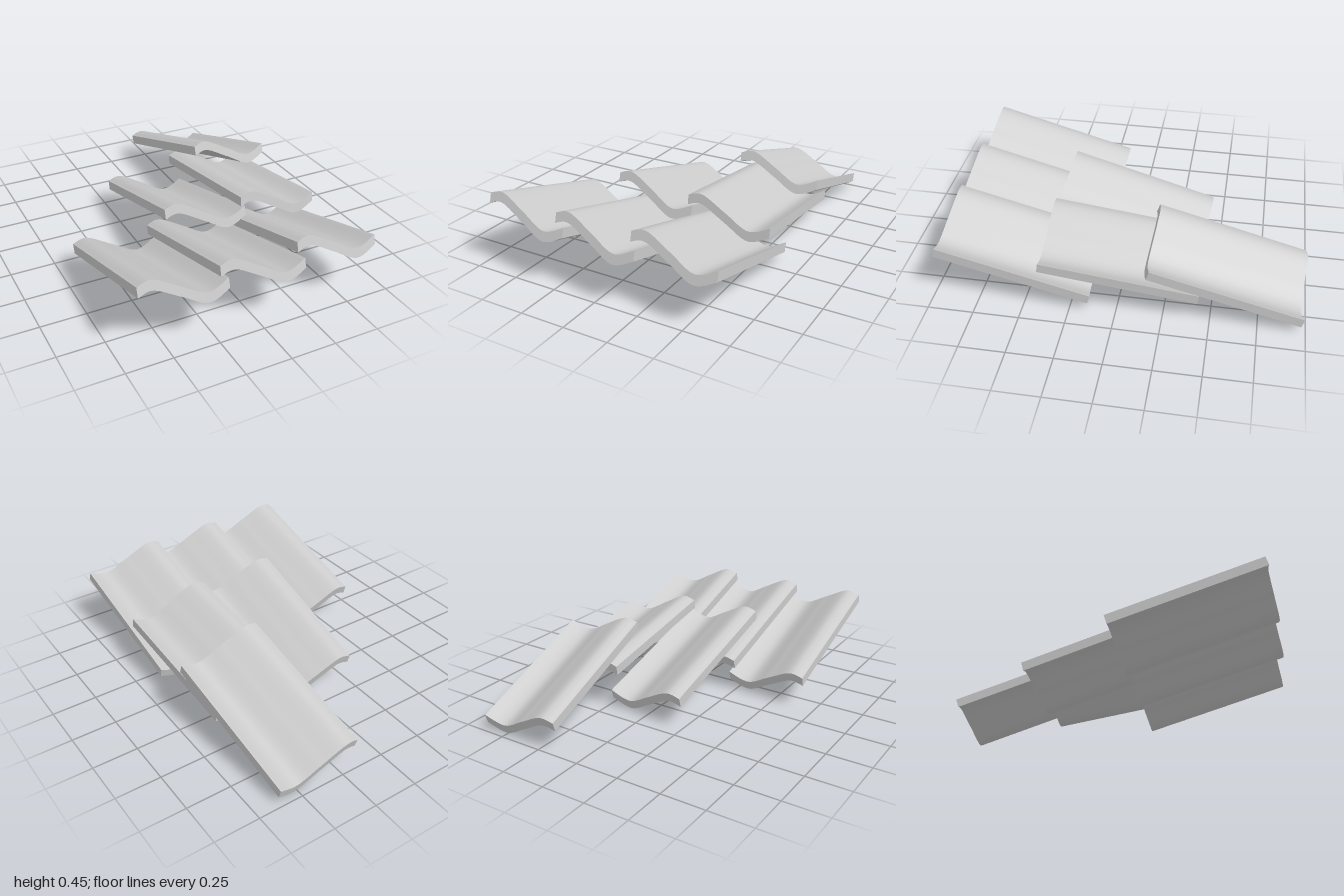
import * as THREE from 'three';
import { toCreasedNormals } from 'three/addons/utils/BufferGeometryUtils.js';

const LENGTH = 0.85;
const THICKNESS = 0.053;

// S-shaped pantile: wavy section swept backwards, origin at its front upper corner
function tileGeometry() {
  const wave = new THREE.SplineCurve([
    [0, 0], [0.08, 0.015], [0.215, -0.056], [0.35, -0.126], [0.467, -0.084],
  ].map(([x, y]) => new THREE.Vector2(x, y))).getPoints(40);
  const under = wave.map((p) => new THREE.Vector2(p.x, p.y - THICKNESS)).reverse();
  const section = new THREE.Shape([...wave, ...under]);
  const geometry = new THREE.ExtrudeGeometry(section, { depth: LENGTH, bevelEnabled: false });
  geometry.translate(0, 0, -LENGTH);
  return toCreasedNormals(geometry, 0.6);
}

// Front corner x, y, z, then downward pitch and yaw in degrees
const TILES = [
  ['leftColumnTile', -0.661, 0.43, 0.948, 16.5, 1.2],
  ['middleFrontTile', -0.238, 0.42, 0.953, 15.7, 0.5],
  ['middleBackTile', -0.25, 0.42, 0.378, 16, -0.6],
  ['rightFrontTile', 0.195, 0.423, 0.942, 16, 1.6],
  ['rightMiddleTile', 0.192, 0.395, 0.403, 8.4, 1.8],
  ['rightBackTile', 0.21, 0.436, -0.177, 18, 4],
];

export function createModel() {
  const group = new THREE.Group();
  group.name = 'roofTiles';
  const geometry = tileGeometry();
  const material = new THREE.MeshStandardMaterial({ color: 0xcccccc });

  // Stepped columns of loosely laid, overlapping tiles
  for (const [name, x, y, z, pitch, yaw] of TILES) {
    const tile = new THREE.Mesh(geometry, material);
    tile.name = name;
    tile.position.set(x, y, z);
    tile.rotation.set(-THREE.MathUtils.degToRad(pitch), THREE.MathUtils.degToRad(yaw), 0, 'YXZ');
    group.add(tile);
  }
  return group;
}
